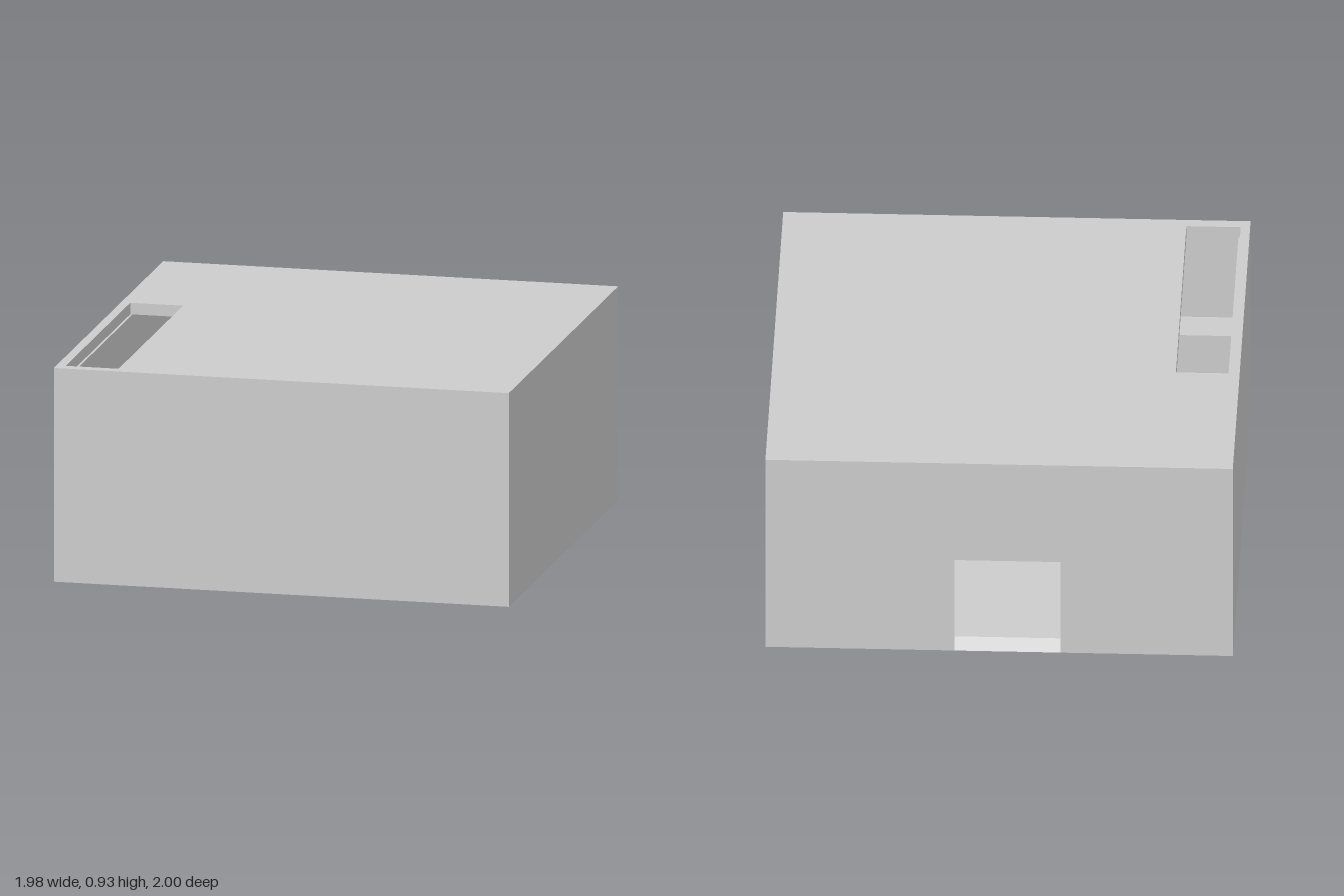
import * as THREE from 'three';

const W = 0.99, D = 1, H = 0.93, T = 0.05, FLOOR = 0.04;
const DOOR = { left: -0.26, right: 0.19, top: 0.45 };

export function createModel() {
  const group = new THREE.Group();
  const material = new THREE.MeshStandardMaterial({ color: 0xcccccc, flatShading: true });

  const add = (name, geometry) => {
    const mesh = new THREE.Mesh(geometry, material);
    mesh.name = name;
    group.add(mesh);
    return mesh;
  };
  // Box given by its lower and upper corners
  const block = (name, x0, y0, z0, x1, y1, z1) =>
    add(name, new THREE.BoxGeometry(x1 - x0, y1 - y0, z1 - z0)
      .translate((x0 + x1) / 2, (y0 + y1) / 2, (z0 + z1) / 2));
  const polygon = (points) => new THREE.Shape(points.map(([x, y]) => new THREE.Vector2(x, y)));
  const extrude = (shape, depth) => new THREE.ExtrudeGeometry(shape, { depth, bevelEnabled: false });

  // Floor, set back at the rear wall so the doorway can slope up to it
  block('floor', -W, 0, -D + T, W, FLOOR, D);

  // Side and front walls
  for (const [name, x] of [['rightWall', -W], ['leftWall', W - T]]) {
    block(name, x, FLOOR, -D + T, x + T, H - T, D);
  }
  block('frontWall', -W + T, FLOOR, D - T, W - T, H - T, D);

  // Rear wall with the doorway
  const rear = polygon([
    [-W, 0], [DOOR.left, 0], [DOOR.left, DOOR.top], [DOOR.right, DOOR.top],
    [DOOR.right, 0], [W, 0], [W, H - T], [-W, H - T],
  ]);
  add('rearWall', extrude(rear, T).translate(0, 0, -D));

  // Sloped threshold: wedge profile in (z, y), swept across the doorway
  const wedge = polygon([[-D, 0], [-D + T, 0], [-D + T, FLOOR]]);
  add('threshold', extrude(wedge, DOOR.right - DOOR.left)
    .rotateY(-Math.PI / 2).translate(DOOR.right, 0, 0));

  // Roof with the long rectangular opening (shape y becomes -z)
  const roof = polygon([[-W, -D], [W, -D], [W, D], [-W, D]]);
  roof.holes.push(polygon([[-0.95, -0.95], [-0.95, 0.23], [-0.72, 0.23], [-0.72, -0.95]]));
  add('roof', extrude(roof, T).rotateX(-Math.PI / 2).translate(0, H - T, 0));

  // Ledge along the front wall and a shorter cross shelf inside
  block('frontLedge', -W + T, 0.44, 0.8, W - T, 0.48, D - T);
  block('crossShelf', -0.72, 0.46, -0.55, 0, 0.5, -0.37);

  return group;
}
